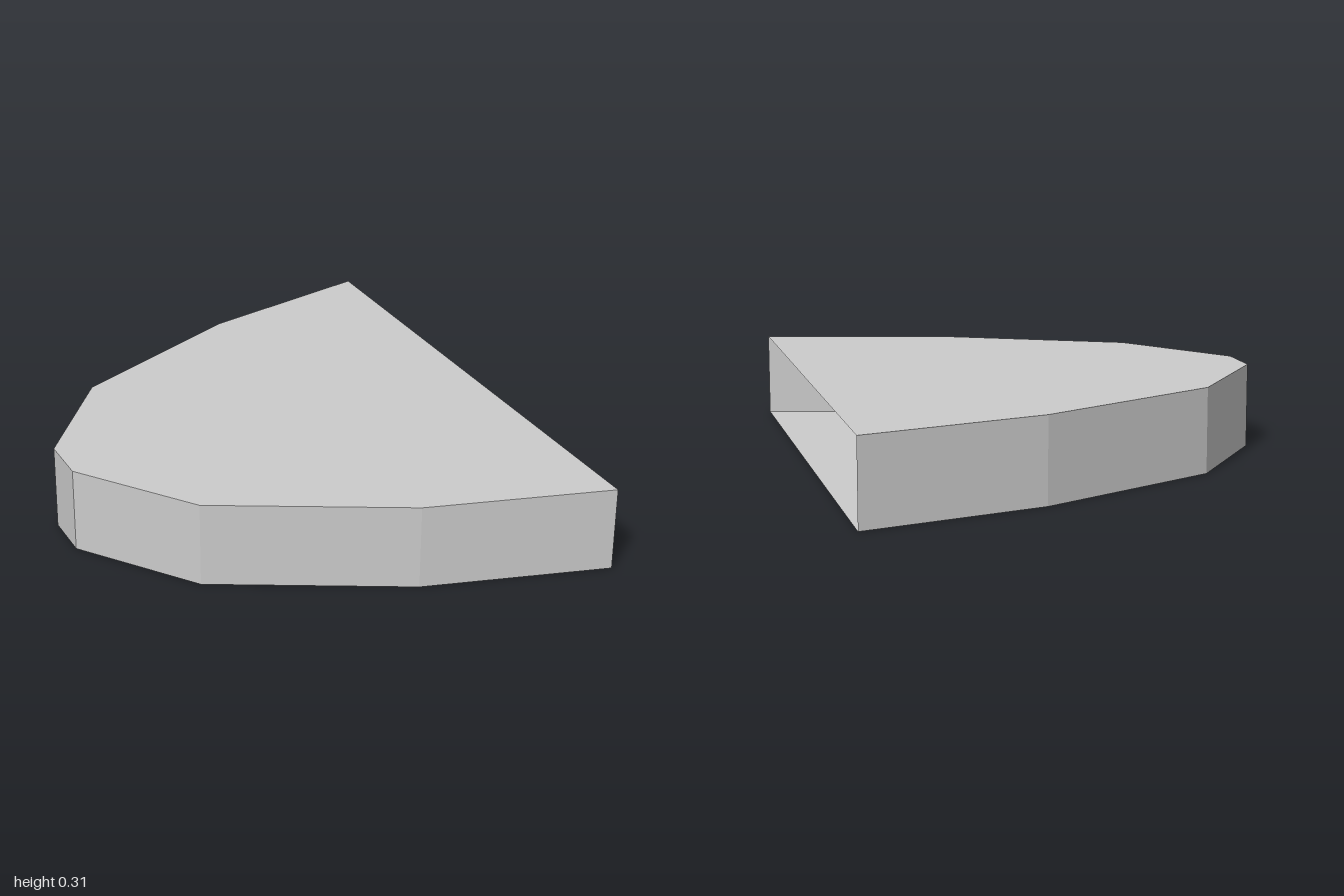
import * as THREE from 'three';

const HEIGHT = 0.305;

// Half of the plan outline as [x, z], from the open wide end to the narrow end
const half = [[0.807, 1], [0.15, 0.83], [-0.51, 0.5], [-0.807, 0.093]];
const outline = [...half, ...half.slice().reverse().map(([x, z]) => [x, -z])];

export function createModel() {
  const group = new THREE.Group();
  group.name = 'openTray';
  const material = new THREE.MeshStandardMaterial({
    color: 0xcccccc, flatShading: true, side: THREE.DoubleSide,
  });
  const add = (name, geometry) => {
    const mesh = new THREE.Mesh(geometry, material);
    mesh.name = name;
    group.add(mesh);
    return mesh;
  };

  // Floor and top plates, facing outwards
  const shape = new THREE.Shape(outline.map(([x, z]) => new THREE.Vector2(x, z)));
  add('floor', new THREE.ShapeGeometry(shape).rotateX(Math.PI / 2));
  add('top', new THREE.ShapeGeometry(shape).rotateX(-Math.PI / 2).translate(0, HEIGHT, 0));

  // Flat wall panels along the outline; the wide +x end stays open
  for (let i = 0; i < outline.length - 1; i++) {
    const [x1, z1] = outline[i], [x2, z2] = outline[i + 1];
    const dx = x1 - x2, dz = z1 - z2;
    const panel = add('wallPanel' + (i + 1), new THREE.PlaneGeometry(Math.hypot(dx, dz), HEIGHT));
    panel.position.set((x1 + x2) / 2, HEIGHT / 2, (z1 + z2) / 2);
    panel.rotation.y = Math.atan2(-dz, dx);
  }
  return group;
}
